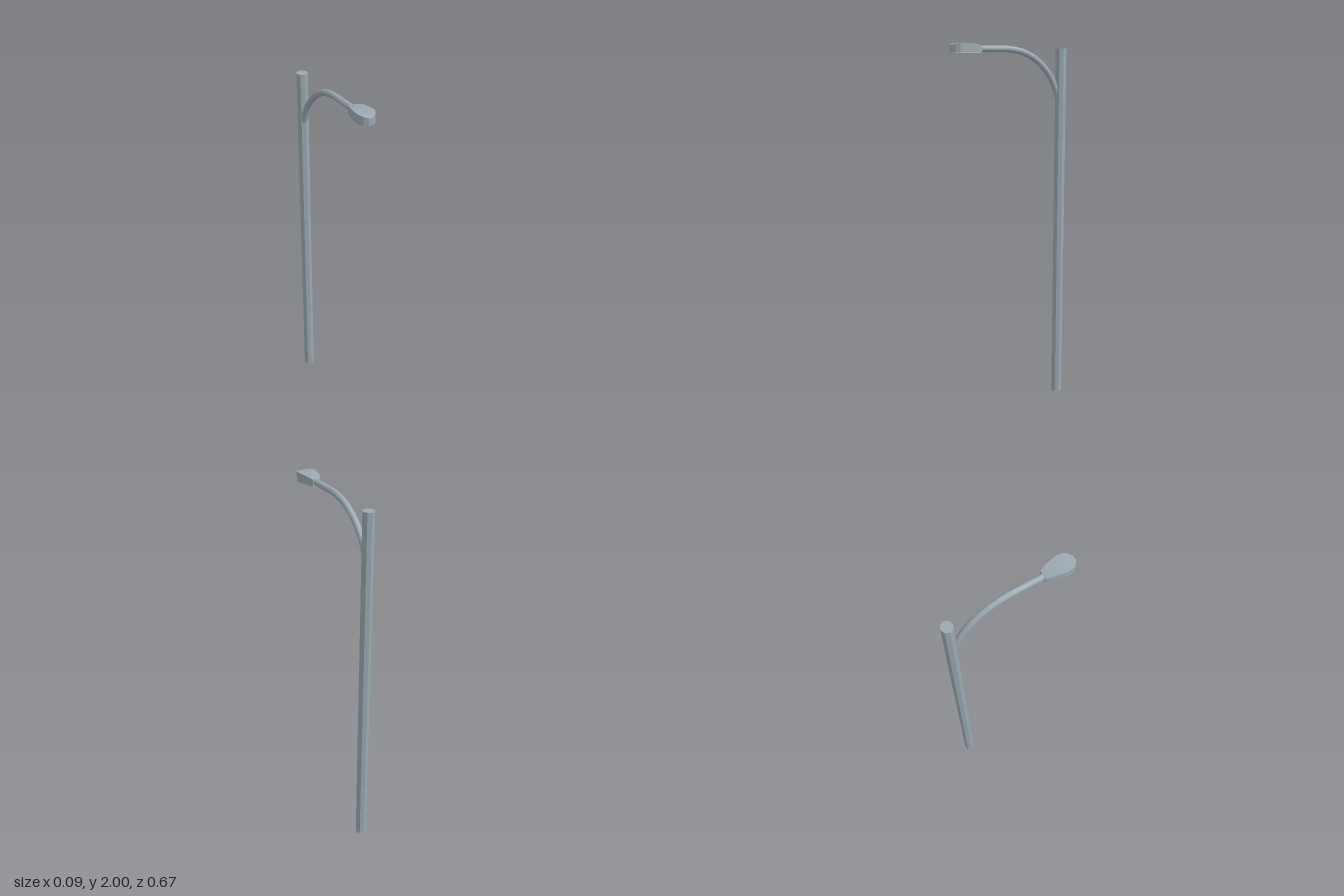
import * as THREE from 'three';
import { toCreasedNormals } from 'three/addons/utils/BufferGeometryUtils.js';

// Lamp head stations from the arm to the tip: z, half width, top height
const STATIONS = [
  [0.171, 0.022, 1.988],
  [0.205, 0.035, 1.997],
  [0.268, 0.047, 2.0],
  [0.297, 0.044, 1.998],
  [0.318, 0.032, 1.994],
  [0.333, 0.012, 1.988],
];
const HEAD_BOTTOM = 1.952;

// Box-like loft through the stations, closed at both ends
function headGeometry() {
  const positions = [];
  const index = [];
  for (const [z, w, top] of STATIONS) {
    positions.push(-w, HEAD_BOTTOM, z, w, HEAD_BOTTOM, z, w, top, z, -w, top, z);
  }
  const quad = (a, b, c, d) => index.push(a, b, c, a, c, d);
  for (let i = 0; i < STATIONS.length - 1; i++) {
    for (let k = 0; k < 4; k++) {
      const a = i * 4 + k;
      const b = i * 4 + (k + 1) % 4;
      quad(a, b, b + 4, a + 4);
    }
  }
  quad(3, 2, 1, 0);
  const e = (STATIONS.length - 1) * 4;
  quad(e, e + 1, e + 2, e + 3);
  const geo = new THREE.BufferGeometry();
  geo.setAttribute('position', new THREE.Float32BufferAttribute(positions, 3));
  geo.setIndex(index);
  return toCreasedNormals(geo, 0.4);
}

// Thin plate following the head outline, slightly inset
function lensGeometry() {
  const inset = 0.9;
  const midZ = 0.255;
  const side = (s) => STATIONS.map(([z, w]) =>
    new THREE.Vector2(s * w * inset, midZ + (z - midZ) * inset));
  const shape = new THREE.Shape([...side(1), ...side(-1).reverse()]);
  const geo = new THREE.ExtrudeGeometry(shape, { depth: 0.004, bevelEnabled: false });
  geo.rotateX(Math.PI / 2); // shape y becomes z, thickness points down
  return geo;
}

export function createModel() {
  const group = new THREE.Group();
  const metal = new THREE.MeshStandardMaterial({ color: 0x9ba8b1 });
  metal.name = 'grey metal';
  const glass = new THREE.MeshStandardMaterial({ color: 0xe6cbae });
  glass.name = 'warm lens';

  const add = (name, geo, material) => {
    const mesh = new THREE.Mesh(geo, material);
    mesh.name = name;
    group.add(mesh);
    return mesh;
  };

  // Octagonal pole
  const height = 1.976;
  const pole = add('pole', toCreasedNormals(
    new THREE.CylinderGeometry(0.03, 0.03, height, 8), 0.4), metal);
  pole.position.set(0, height / 2, -0.303);

  // Curved arm rising from the pole to the lamp head
  const path = new THREE.CatmullRomCurve3([
    [-0.003, 1.705, -0.295], [-0.003, 1.758, -0.275], [-0.002, 1.832, -0.237],
    [-0.001, 1.902, -0.172], [0, 1.95, -0.09], [0, 1.97, 0],
    [0, 1.971, 0.09], [0, 1.971, 0.18],
  ].map((p) => new THREE.Vector3(...p)));
  add('arm', new THREE.TubeGeometry(path, 24, 0.017, 10), metal);

  // Lamp head and the lens beneath it
  add('lampHead', headGeometry(), metal);
  add('lens', lensGeometry(), glass).position.y = HEAD_BOTTOM + 0.002;

  return group;
}
